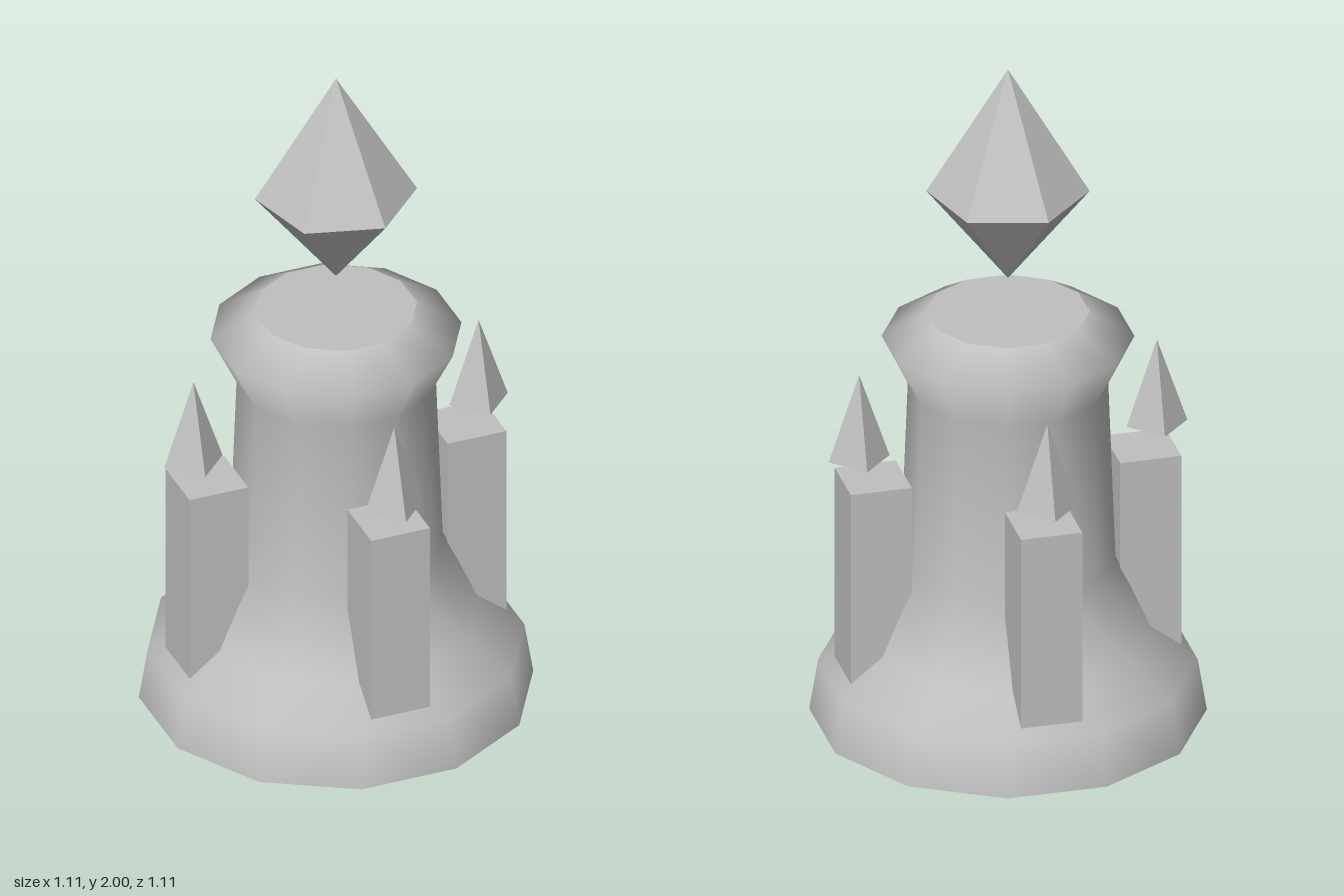
import * as THREE from 'three';
import { mergeGeometries } from 'three/addons/utils/BufferGeometryUtils.js';

const stone = new THREE.MeshStandardMaterial({ color: 0xc0c0c0 });
stone.name = 'grey stone';

// Give every face its own flat normal
function faceted(geometry) {
  const g = geometry.toNonIndexed();
  g.computeVertexNormals();
  return g;
}

// Two open cones joined at their widest ring
function bipyramid(radius, sides, bottom, middle, top, turn = 0) {
  const upper = new THREE.CylinderGeometry(0, radius, top - middle, sides, 1, true);
  upper.translate(0, (top + middle) / 2, 0);
  const lower = new THREE.CylinderGeometry(radius, 0, middle - bottom, sides, 1, true);
  lower.translate(0, (middle + bottom) / 2, 0);
  return faceted(mergeGeometries([upper, lower]).rotateY(turn));
}

export function createModel() {
  const model = new THREE.Group();
  const add = (name, geometry, parent = model) => {
    const mesh = new THREE.Mesh(geometry, stone);
    mesh.name = name;
    parent.add(mesh);
    return mesh;
  };

  // Twelve-sided tower body with flared foot and crown
  const profile = [
    [0.555, 0], [0.53, 0.155], [0.4, 0.254], [0.3, 0.48],
    [0.28, 1.02], [0.353, 1.167], [0.228, 1.243],
  ].map(([r, y]) => new THREE.Vector2(r, y));
  add('towerBody', new THREE.LatheGeometry(profile, 12));

  // Flat caps, first corner on the z axis like the body
  const cap = (r) => new THREE.CircleGeometry(r, 12);
  add('towerRoof', cap(0.228).rotateX(-Math.PI / 2).translate(0, 1.243, 0));
  add('towerFloor', cap(0.555).rotateX(Math.PI / 2));

  // Floating six-sided crystal
  add('crystal', bipyramid(0.228, 6, 1.348, 1.62, 2));

  // Four corner turrets, each with a small floating spire
  const pillar = faceted(new THREE.CylinderGeometry(0.125, 0.125, 0.59, 4));
  const spire = bipyramid(0.088, 4, 0.813, 0.838, 1.1, Math.PI / 4);
  for (const sx of [-1, 1]) {
    for (const sz of [-1, 1]) {
      const turret = new THREE.Group();
      turret.name = `${sz > 0 ? 'front' : 'back'}${sx > 0 ? 'Left' : 'Right'}Turret`;
      add('pillar', pillar, turret).position.set(sx * 0.275, 0.478, sz * 0.275);
      add('spire', spire, turret).position.set(sx * 0.304, 0, sz * 0.304);
      model.add(turret);
    }
  }
  return model;
}
